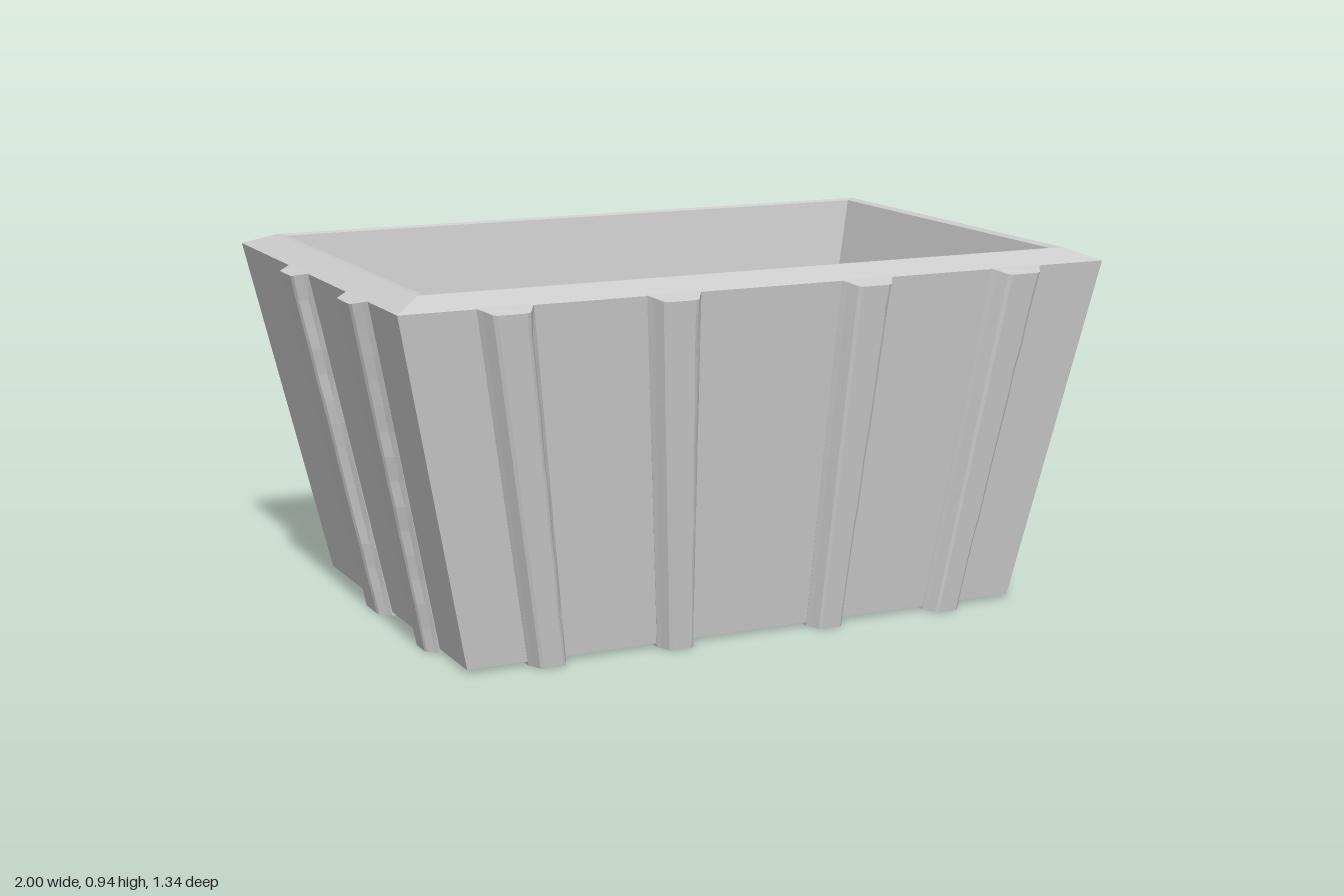
import * as THREE from 'three';

const material = new THREE.MeshStandardMaterial({ color: 0xcccccc, flatShading: true });
const lerp = THREE.MathUtils.lerp;

// Small seeded generator for the worn rib edges
let seed = 7;
const rand = () => (seed = (seed * 16807) % 2147483647) / 2147483647;

// Skin over rings that run counter-clockwise seen from above, capped at both ends
function loft(name, rings) {
  const pos = [];
  const tri = (a, b, c) => pos.push(...a, ...b, ...c);
  const n = rings[0].length;
  for (let i = 0; i < rings.length - 1; i++) {
    for (let j = 0; j < n; j++) {
      const k = (j + 1) % n;
      const [a, b, c, d] = [rings[i][j], rings[i][k], rings[i + 1][k], rings[i + 1][j]];
      tri(a, b, c);
      tri(a, c, d);
    }
  }
  const first = rings[0], last = rings[rings.length - 1];
  for (let j = 1; j < n - 1; j++) {
    tri(first[0], first[j + 1], first[j]);
    tri(last[0], last[j], last[j + 1]);
  }
  const geometry = new THREE.BufferGeometry();
  geometry.setAttribute('position', new THREE.Float32BufferAttribute(pos, 3));
  geometry.computeVertexNormals();
  const mesh = new THREE.Mesh(geometry, material);
  mesh.name = name;
  return mesh;
}

const rectangle = (y, x, front, back) =>
  [[-x, y, front], [x, y, front], [x, y, back], [-x, y, back]];

// Rib cross-section: [fraction of half width, fraction of depth]
const section = [[-1, 0], [-0.87, 0.3], [-0.66, 0.88], [-0.52, 1],
  [0.52, 1], [0.66, 0.88], [0.87, 0.3], [1, 0]];

// Rib running up a leaning wall; angle turns it from the front to its side.
// low and high give [position along wall, half width, wall distance, depth]
function rib(name, angle, low, high) {
  const c = Math.cos(angle), s = Math.sin(angle);
  const steps = 14;
  const rings = [];
  for (let i = 0; i <= steps; i++) {
    const f = i / steps;
    const [at, half, wall, depth] = low.map((v, k) => lerp(v, high[k], f));
    const chip = 1 - (i > 0 && i < steps ? 0.1 * rand() : 0);
    const points = section.map(([u, v], k) => {
      const worn = k > 3 && k < 7 ? chip : 1;
      return [at + u * half * worn, v * depth];
    });
    points.unshift([at - half, -0.02]);
    points.push([at + half, -0.02]);
    rings.push(points.map(([t, out]) => {
      const n = wall + out;
      const y = f * (0.913 - out * 0.25);
      return [t * c + n * s, y, -t * s + n * c];
    }));
  }
  return loft(name, rings);
}

export function createModel() {
  seed = 7;
  const group = new THREE.Group();
  group.name = 'planter';

  // Hollow tapered box: outer wall, bevelled rim, inner wall and floor
  group.add(loft('tub', [
    rectangle(0.01, 0.77, 0.515, -0.52),
    rectangle(0.912, 0.965, 0.62, -0.635),
    rectangle(0.942, 0.89, 0.55, -0.56),
    rectangle(0.938, 0.866, 0.522, -0.545),
    rectangle(0.04, 0.66, 0.395, -0.405),
  ]));

  // Front ribs
  for (const [low, high] of [[-0.56, -0.7], [-0.212, -0.265], [0.212, 0.265], [0.56, 0.7]]) {
    group.add(rib('frontRib', 0, [low, 0.05, 0.515, 0.042], [high, 0.072, 0.62, 0.046]));
  }

  // Back ribs, one fewer than the front
  for (const [low, high] of [[-0.56, -0.7], [-0.212, -0.265], [0.56, 0.7]]) {
    group.add(rib('backRib', Math.PI, [-low, 0.05, 0.52, 0.035], [-high, 0.072, 0.635, 0.038]));
  }

  // Side ribs, mirrored left and right
  for (const side of [1, -1]) {
    const name = side > 0 ? 'leftRib' : 'rightRib';
    for (const [low, high] of [[0.27, 0.335], [-0.105, -0.125]]) {
      const wide = low < 0 ? 0.078 : 0.055;
      group.add(rib(name, side * Math.PI / 2,
        [-side * low, wide, 0.77, 0.03], [-side * high, 0.08, 0.965, 0.035]));
    }
  }
  return group;
}
